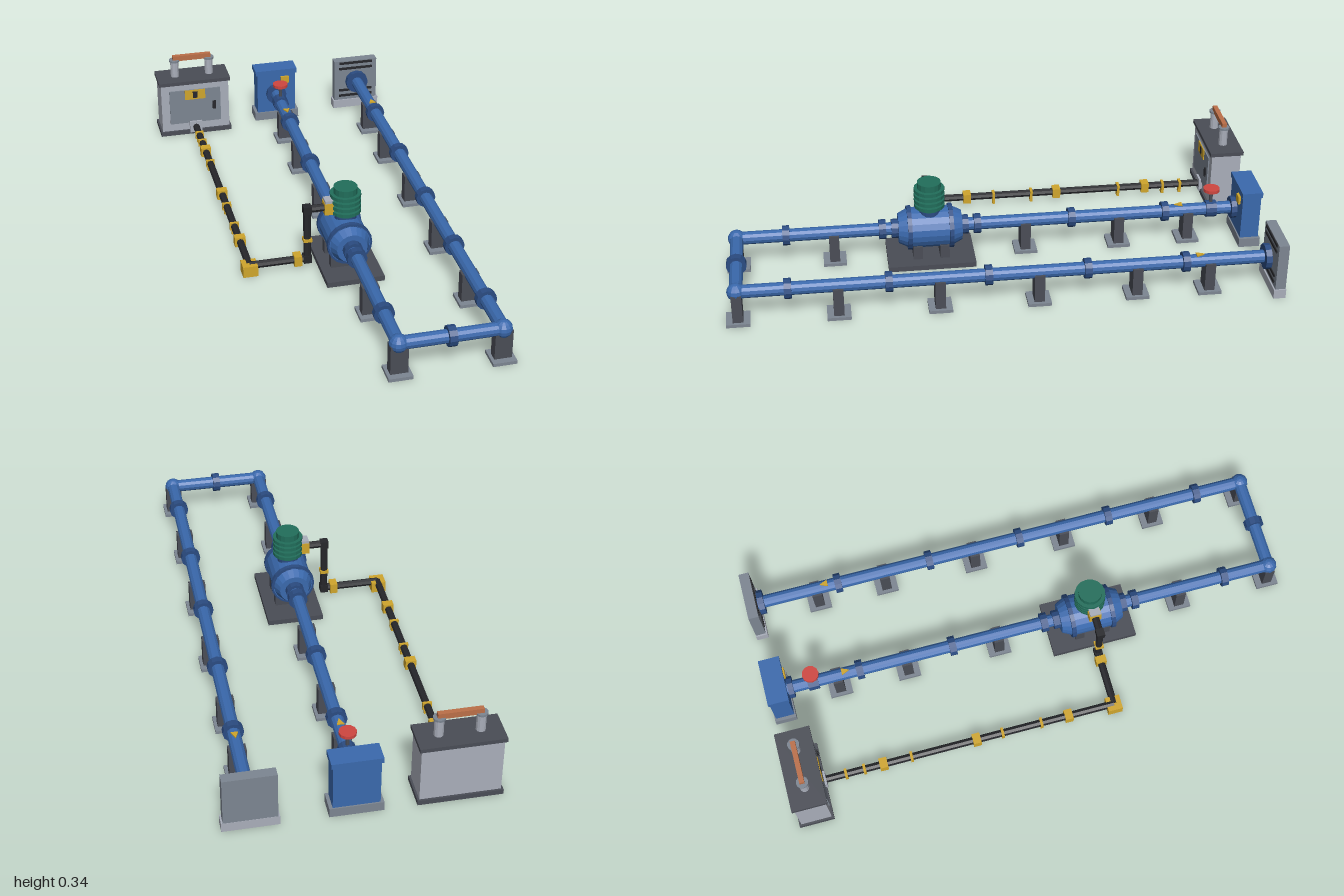
import * as THREE from 'three';

const mat = (name, hex) => {
  const m = new THREE.MeshStandardMaterial({ color: hex, flatShading: true });
  m.name = name;
  return m;
};

export function createModel() {
  const root = new THREE.Group();
  root.name = 'pumpStation';
  const blue = mat('pipeBlue', 0x3a69ad), navy = mat('flangeBlue', 0x2b4c82);
  const dark = mat('darkSteel', 0x4a4d56), light = mat('lightGrey', 0xa9aeba);
  const grey = mat('panelGrey', 0x7d8692), black = mat('cableBlack', 0x26272b);
  const yellow = mat('yellow', 0xd0a62c), green = mat('motorGreen', 0x216e5b);
  const copper = mat('copper', 0xbb6f48), red = mat('valveRed', 0xcf4640);

  const add = (name, geo, m, x, y, z, parent = root) => {
    const mesh = new THREE.Mesh(geo, m);
    mesh.name = name;
    mesh.position.set(x, y, z);
    parent.add(mesh);
    return mesh;
  };
  const box = (name, m, w, h, d, x, y, z, parent) =>
    add(name, new THREE.BoxGeometry(w, h, d), m, x, y, z, parent);
  // Cylinder along a chosen axis
  const cyl = (name, m, r, len, axis, x, y, z, sides = 12, parent = root, r2 = r) => {
    const g = new THREE.CylinderGeometry(r2, r, len, sides);
    if (axis === 'x') g.rotateZ(-Math.PI / 2);
    if (axis === 'z') g.rotateX(Math.PI / 2);
    return add(name, g, m, x, y, z, parent);
  };
  const group = (name) => {
    const g = new THREE.Group();
    g.name = name;
    root.add(g);
    return g;
  };

  // Pipe loop
  const PY = 0.122, XA = 0.02, XB = 0.38, ZF = 0.955, R = 0.024;
  const pipes = group('pipeLoop');
  cyl('supplyPipe', blue, R, ZF + 0.93, 'z', XA, PY, (ZF - 0.93) / 2, 12, pipes);
  cyl('returnPipe', blue, R, ZF + 0.96, 'z', XB, PY, (ZF - 0.96) / 2, 12, pipes);
  cyl('crossPipe', blue, R, XB - XA, 'x', (XA + XB) / 2, PY, ZF, 12, pipes);
  cyl('crossFlange', navy, 0.037, 0.028, 'x', 0.2, PY, ZF, 12, pipes);
  for (const x of [XA, XB]) {
    add('elbow', new THREE.SphereGeometry(0.033, 12, 8), blue, x, PY, ZF, pipes);
    for (const z of [-0.647, -0.29, 0.066, 0.42, 0.775])
      cyl('pipeFlange', navy, 0.037, 0.026, 'z', x, PY, z, 12, pipes);
    // Pipe supports
    for (const z of [-0.735, -0.47, -0.115, 0.24, 0.6, ZF]) {
      if (x === XA && z === 0.24) continue;
      box('supportPlate', grey, 0.085, 0.012, 0.085, x, 0.006, z, pipes);
      box('supportPost', dark, 0.062, 0.108, 0.037, x, 0.066, z, pipes);
    }
  }
  cyl('supplyEndFlange', navy, 0.042, 0.02, 'z', XA, PY, -0.91, 12, pipes);
  cyl('returnEndFlange', navy, 0.047, 0.022, 'z', XB, PY, -0.945, 12, pipes);

  // Flow arrows
  for (const [x, dir] of [[XA, 1], [XB, -1]]) {
    const s = new THREE.Shape([new THREE.Vector2(-0.013, -0.014), new THREE.Vector2(0.013, -0.014), new THREE.Vector2(0, 0.016)]);
    const g = new THREE.ExtrudeGeometry(s, { depth: 0.005, bevelEnabled: false });
    g.rotateX(-Math.PI / 2);
    if (dir > 0) g.rotateY(Math.PI);
    add('flowArrow', g, yellow, x, PY + R - 0.001, -0.7, pipes);
  }

  // Valve with handwheel
  const valve = group('valve');
  cyl('valveBody', navy, 0.032, 0.04, 'z', XA, PY, -0.825, 12, valve);
  cyl('valveStem', dark, 0.007, 0.07, 'y', XA, 0.17, -0.825, 8, valve);
  cyl('handwheel', red, 0.031, 0.012, 'y', XA, 0.205, -0.825, 12, valve);

  // Pump
  const pump = group('pump'), PZ = 0.243;
  box('pumpBase', dark, 0.212, 0.02, 0.325, 0.024, 0.01, PZ, pump);
  cyl('pumpBody', blue, 0.076, 0.17, 'z', XA, PY, PZ, 20, pump);
  for (const s of [-1, 1]) {
    cyl('pumpRing', navy, 0.083, 0.016, 'z', XA, PY, PZ + s * 0.077, 20, pump);
    cyl('pumpCap', blue, s > 0 ? 0.074 : 0.056, 0.036, 'z', XA, PY, PZ + s * 0.1, 20, pump, s > 0 ? 0.056 : 0.074);
    cyl('pumpNozzle', navy, 0.036, 0.03, 'z', XA, PY, PZ + s * 0.128, 12, pump);
    box('pumpFoot', dark, 0.13, 0.055, 0.035, XA, 0.045, PZ + s * 0.05, pump);
  }
  // Motor with cooling fins
  const MX = 0.024;
  cyl('motorNeck', navy, 0.04, 0.03, 'y', MX, 0.198, PZ, 16, pump);
  cyl('motorCore', green, 0.044, 0.11, 'y', MX, 0.26, PZ, 16, pump);
  for (let i = 0; i < 4; i++)
    cyl('motorFin', green, 0.057, 0.013, 'y', MX, 0.221 + i * 0.021, PZ, 16, pump);
  box('terminalBox', yellow, 0.034, 0.045, 0.045, -0.04, 0.238, PZ, pump);
  box('terminalLid', light, 0.03, 0.012, 0.04, -0.04, 0.265, PZ, pump);

  // Power cable conduit
  const cable = group('cableConduit'), CX = -0.333, CY = 0.033, DX = -0.118;
  const c = 0.014;
  cyl('topConduit', black, c, 0.075, 'x', -0.083, 0.238, PZ, 8, cable);
  cyl('dropConduit', black, c, 0.205, 'y', DX, 0.1355, PZ, 8, cable);
  cyl('crossConduit', black, c, DX - CX, 'x', (DX + CX) / 2, CY, PZ, 8, cable);
  cyl('longConduit', black, c, PZ + 0.87, 'z', CX, CY, (PZ - 0.87) / 2, 8, cable);
  for (const y of [CY, 0.238]) box('conduitElbow', black, 0.03, 0.03, 0.03, DX, y, PZ, cable);
  box('cornerBox', yellow, 0.055, 0.043, 0.055, CX, 0.0215, PZ, cable);
  box('dropClip', yellow, 0.032, 0.012, 0.032, DX, 0.113, PZ, cable);
  box('crossCoupling', yellow, 0.028, 0.04, 0.04, -0.155, CY, PZ, cable);
  for (const z of [0.066, -0.29, -0.647])
    box('conduitCoupling', yellow, 0.04, 0.038, 0.03, CX, CY, z, cable);
  for (const z of [-0.04, -0.19, -0.54, -0.72, -0.79]) {
    box('conduitClip', yellow, 0.034, 0.03, 0.01, CX, CY, z, cable);
    box('conduitFoot', yellow, 0.022, 0.02, 0.01, CX, 0.01, z, cable);
  }

  // Transformer cabinet
  const tr = group('transformer'), TX = -0.331, TZ = -0.935;
  box('transformerBase', dark, 0.297, 0.018, 0.13, TX, 0.009, TZ, tr);
  box('transformerBody', light, 0.282, 0.212, 0.114, TX, 0.123, TZ, tr);
  box('transformerRoof', dark, 0.297, 0.015, 0.13, TX, 0.2355, TZ, tr);
  const front = TZ + 0.057;
  box('door', grey, 0.213, 0.15, 0.006, -0.332, 0.126, front + 0.002, tr);
  box('warningPlate', yellow, 0.085, 0.042, 0.005, -0.332, 0.18, front + 0.006, tr);
  box('warningMark', black, 0.019, 0.029, 0.004, -0.332, 0.18, front + 0.008, tr);
  box('doorHandle', black, 0.014, 0.035, 0.008, -0.253, 0.125, front + 0.007, tr);
  box('cableGland', light, 0.052, 0.05, 0.014, CX, 0.033, front + 0.006, tr);
  for (const x of [-0.403, -0.26]) {
    cyl('insulator', light, 0.017, 0.07, 'y', x, 0.277, TZ, 12, tr);
    cyl('insulatorCap', grey, 0.022, 0.008, 'y', x, 0.314, TZ, 12, tr);
  }
  box('busBar', copper, 0.157, 0.022, 0.018, TX, 0.324, TZ, tr);

  // Control cabinet at the supply end
  const cab = group('controlCabinet');
  box('cabinetBase', grey, 0.186, 0.035, 0.08, 0.024, 0.0175, -0.96, cab);
  box('cabinetBody', blue, 0.162, 0.175, 0.07, 0.024, 0.1225, -0.96, cab);
  box('cabinetTop', blue, 0.176, 0.02, 0.078, 0.024, 0.217, -0.96, cab);
  box('cabinetTag', yellow, 0.035, 0.03, 0.01, 0.06, 0.18, -0.921, cab);

  // Vent panel at the return end
  const vent = group('ventPanel');
  box('ventBase', light, 0.196, 0.035, 0.045, 0.379, 0.0175, -0.9775, vent);
  box('ventBody', grey, 0.184, 0.18, 0.038, 0.379, 0.125, -0.98, vent);
  for (const y of [0.206, 0.181, 0.08, 0.055])
    box('ventSlot', black, 0.143, 0.01, 0.006, 0.379, y, -0.96, vent);

  return root;
}
